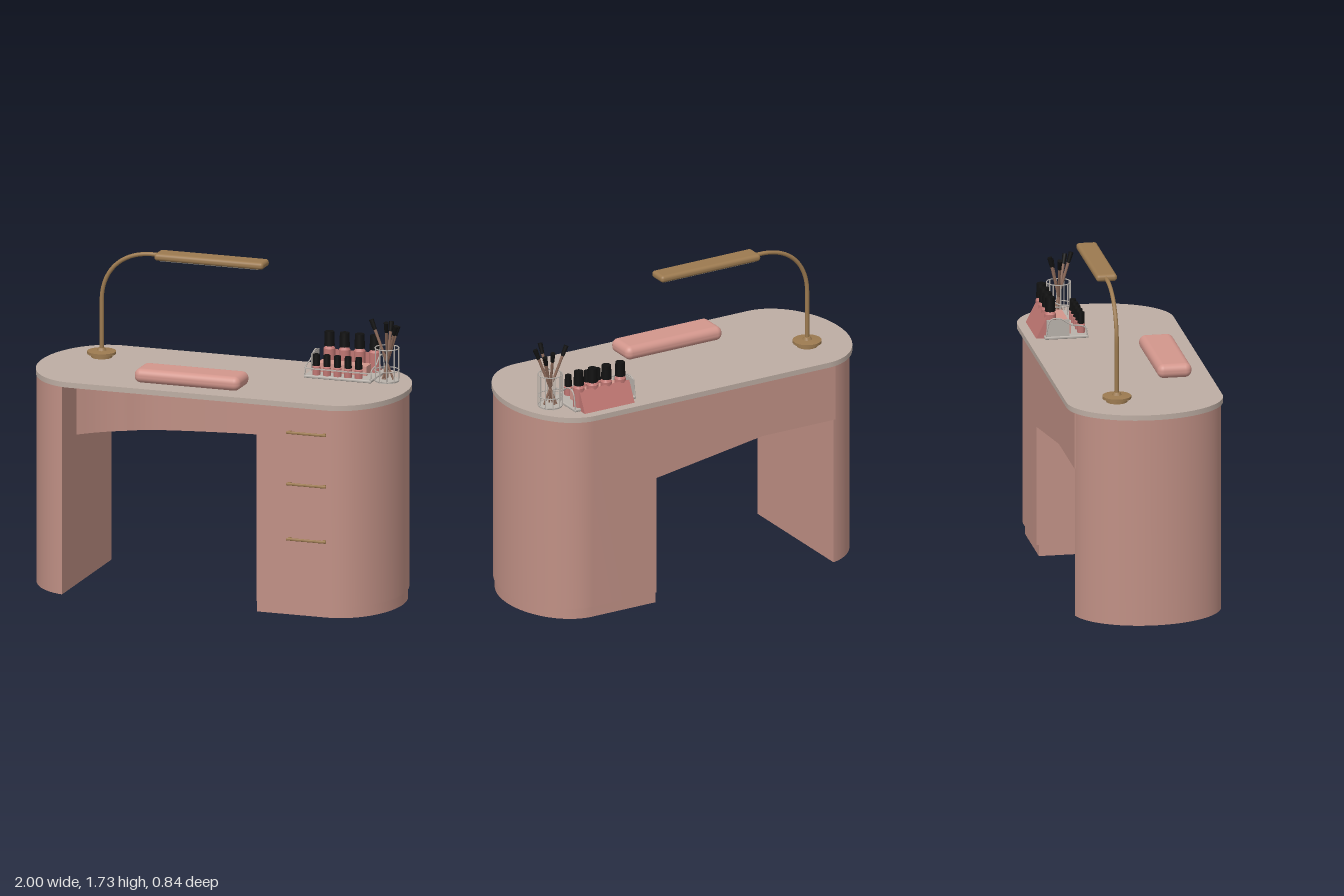
import * as THREE from 'three';
import { toCreasedNormals } from 'three/addons/utils/BufferGeometryUtils.js';
import { RoundedBoxGeometry } from 'three/addons/geometries/RoundedBoxGeometry.js';

const mat = (name, color, side = THREE.FrontSide) => {
  const m = new THREE.MeshStandardMaterial({ color, side });
  m.name = name;
  return m;
};

export function createModel() {
  const root = new THREE.Group();
  root.name = 'vanityDesk';
  const pink = mat('dusty pink', 0xc09085);
  const stone = mat('taupe top', 0xbdada3);
  const cushionPink = mat('cushion pink', 0xd2968c);
  const brass = mat('brass', 0x9c7a50);
  const black = mat('black', 0x111111);
  const rose = mat('rose polish', 0xbf7672);
  const acrylic = mat('clear grey', 0xb9b2ab, THREE.DoubleSide);
  const grey = mat('shadow grey', 0x8c8a84, THREE.DoubleSide);
  const wood = mat('brush wood', 0x8a6858);

  const add = (name, geo, material, x = 0, y = 0, z = 0, parent = root) => {
    const m = new THREE.Mesh(geo, material);
    m.name = name;
    m.position.set(x, y, z);
    parent.add(m);
    return m;
  };
  const box = (w, h, d) => new THREE.BoxGeometry(w, h, d);
  const cyl = (r1, r2, h, n = 24) => new THREE.CylinderGeometry(r1, r2, h, n);
  // Plan outline (x, -z) raised from y0 to y1
  const raise = (name, shape, y0, y1, material) => {
    const geo = new THREE.ExtrudeGeometry(shape, { depth: y1 - y0, bevelEnabled: false, curveSegments: 40 });
    geo.rotateX(-Math.PI / 2);
    return add(name, toCreasedNormals(geo, 0.6), material, 0, y0, 0);
  };
  // Thin rod between two points
  const rod = (name, a, b, r1, r2, material, parent = root) => {
    const d = b.clone().sub(a);
    const m = add(name, cyl(r2, r1, d.length(), 10), material, 0, 0, 0, parent);
    m.position.copy(a).addScaledVector(d, 0.5);
    m.quaternion.setFromUnitVectors(new THREE.Vector3(0, 1, 0), d.normalize());
    return m;
  };
  const V = (x, y, z) => new THREE.Vector3(x, y, z);

  // Table top with elliptical ends
  const top = new THREE.Shape();
  top.moveTo(-0.7, -0.4);
  top.lineTo(0.7, -0.4);
  top.absellipse(0.7, 0.01, 0.3, 0.41, -Math.PI / 2, Math.PI / 2, false);
  top.lineTo(-0.7, 0.42);
  top.absellipse(-0.7, 0.01, 0.3, 0.41, Math.PI / 2, Math.PI * 1.5, false);
  raise('tableTop', top, 1.112, 1.14, stone);

  // Drawer cabinet on an inset plinth
  const cabinetPlan = (inset) => {
    const s = new THREE.Shape();
    const h = 0.39 - inset;
    s.moveTo(0.32, -h);
    s.lineTo(0.7, -h);
    s.absellipse(0.7, 0, 0.29 - inset / 2, h, -Math.PI / 2, Math.PI / 2, false);
    s.lineTo(0.32, h);
    s.closePath();
    return s;
  };
  raise('cabinet', cabinetPlan(0), 0.06, 1.112, pink);
  raise('plinth', cabinetPlan(0.012), 0, 0.06, pink);

  // Rounded leg with a flat inner face
  const leg = new THREE.Shape();
  const start = Math.acos(-0.05 / 0.295);
  leg.absellipse(-0.7, 0, 0.295, 0.39, start, Math.PI * 2 - start, false);
  leg.closePath();
  raise('leg', leg, 0, 1.112, pink);

  // Apron with a concave front, flush at the back
  const apron = new THREE.Shape();
  apron.moveTo(-0.76, -0.17);
  apron.splineThru([[-0.66, -0.08], [-0.55, -0.01], [-0.38, 0.07], [0, 0.14], [0.33, 0.17]]
    .map(([x, y]) => new THREE.Vector2(x, y)));
  apron.lineTo(0.33, 0.39);
  apron.lineTo(-0.76, 0.39);
  apron.closePath();
  raise('apron', apron, 0.8, 1.112, pink);

  // Sloping wedge below the apron
  const tri = (...p) => {
    const g = new THREE.BufferGeometry().setFromPoints(p);
    g.computeVertexNormals();
    return g;
  };
  const wedgeTip = V(-0.32, 0.8, -0.39), wedgeLow = V(0.32, 0.7, -0.39);
  add('wedgeBack', tri(wedgeTip, V(0.32, 0.8, -0.39), wedgeLow), pink);
  add('wedgeUnderside', tri(wedgeTip, wedgeLow, V(0.32, 0.8, -0.17)), grey);

  // Drawer pulls
  for (const y of [0.41, 0.705, 0.98]) {
    const pull = new THREE.Group();
    pull.name = 'drawerPull';
    pull.position.set(0.6, y, 0.39);
    root.add(pull);
    add('pullBar', new RoundedBoxGeometry(0.22, 0.014, 0.012, 2, 0.005), brass, 0, 0, 0.022, pull);
    for (const s of [-1, 1]) add('pullPost', box(0.014, 0.012, 0.024), brass, s * 0.095, 0, 0.01, pull);
  }

  // Hand-rest cushion
  add('cushion', new RoundedBoxGeometry(0.58, 0.075, 0.18, 6, 0.034), cushionPink, -0.1, 1.177, 0.21);

  // Lamp: turned base, bent stem, flat head
  const lampBase = [[0, 0], [0.055, 0], [0.055, 0.012], [0.075, 0.018], [0.075, 0.032], [0.025, 0.036], [0.018, 0.05], [0, 0.05]]
    .map(([x, y]) => new THREE.Vector2(x, y));
  add('lampBase', toCreasedNormals(new THREE.LatheGeometry(lampBase, 40), 0.5), brass, -0.725, 1.14, -0.16);
  const stem = new THREE.CurvePath();
  stem.add(new THREE.LineCurve3(V(-0.725, 1.17, -0.16), V(-0.725, 1.44, -0.16)));
  stem.add(new THREE.CubicBezierCurve3(V(-0.725, 1.44, -0.16), V(-0.725, 1.6, -0.16), V(-0.62, 1.71, -0.16), V(-0.45, 1.712, -0.16)));
  stem.add(new THREE.LineCurve3(V(-0.45, 1.712, -0.16), V(-0.4, 1.712, -0.16)));
  add('lampStem', new THREE.TubeGeometry(stem, 60, 0.011, 12), brass);
  add('lampHead', new RoundedBoxGeometry(0.6, 0.038, 0.11, 4, 0.017), brass, -0.12, 1.712, -0.155);
  add('lampLightPanel', box(0.54, 0.004, 0.076), grey, -0.12, 1.692, -0.155);

  // Polish organiser: tray, raised step, side rails
  add('organiserTray', new RoundedBoxGeometry(0.37, 0.016, 0.23, 2, 0.006), acrylic, 0.59, 1.148, -0.215);
  add('organiserStep', box(0.27, 0.05, 0.075), cushionPink, 0.585, 1.18, -0.222);
  const back = new THREE.Shape();
  back.moveTo(0.315, 1.14);
  back.lineTo(0.37, 1.14);
  back.lineTo(0.315, 1.25);
  const backGeo = new THREE.ExtrudeGeometry(back, { depth: 0.3, bevelEnabled: false });
  backGeo.rotateY(Math.PI / 2);
  // Turned so that the slope faces the rear
  backGeo.translate(0.44, 0, 0);
  add('organiserBack', backGeo, rose);
  for (const x of [0.41, 0.77]) {
    const rail = new THREE.CatmullRomCurve3([V(x, 1.15, -0.105), V(x, 1.2, -0.12), V(x, 1.215, -0.19), V(x, 1.25, -0.25), V(x, 1.245, -0.3), V(x, 1.15, -0.325)]);
    add('organiserRail', new THREE.TubeGeometry(rail, 24, 0.004, 6), acrylic);
  }
  add('organiserFrontRail', box(0.36, 0.006, 0.006), acrylic, 0.59, 1.19, -0.108);
  add('organiserSide', box(0.004, 0.1, 0.12), acrylic, 0.412, 1.195, -0.26);

  // Polish bottles: large at the back, small at the front
  const bottle = (x, z, r, bodyH, capH) => {
    const g = new THREE.Group();
    g.name = 'polishBottle';
    g.position.set(x, 1.15, z);
    root.add(g);
    const profile = [[0, 0], [r, 0], [r, bodyH * 0.88], [r * 0.6, bodyH], [0, bodyH]].map(([a, b]) => new THREE.Vector2(a, b));
    add('bottleBody', toCreasedNormals(new THREE.LatheGeometry(profile, 24), 0.5), rose, 0, 0, 0, g);
    add('bottleCap', cyl(r * 0.82, r * 0.92, capH), black, 0, bodyH + capH / 2, 0, g);
  };
  for (let i = 0; i < 4; i++) bottle(0.48 + i * 0.083, -0.29, 0.03, 0.125, 0.075);
  for (let i = 0; i < 5; i++) bottle(0.465 + i * 0.058, -0.13, 0.021, 0.055, 0.06);

  // Ribbed brush cup
  const cup = new THREE.Group();
  cup.name = 'brushCup';
  cup.position.set(0.835, 1.14, -0.18);
  root.add(cup);
  add('cupFloor', cyl(0.063, 0.063, 0.008), acrylic, 0, 0.004, 0, cup);
  for (const y of [0.008, 0.06, 0.178]) {
    const ring = new THREE.TorusGeometry(0.063, 0.003, 6, 32);
    ring.rotateX(Math.PI / 2);
    add('cupRing', ring, acrylic, 0, y, 0, cup);
  }
  for (let i = 0; i < 10; i++) {
    const a = (i / 10) * Math.PI * 2;
    add('cupRib', cyl(0.003, 0.003, 0.178, 6), acrylic, 0.063 * Math.cos(a), 0.089, 0.063 * Math.sin(a), cup);
  }

  // Brushes leaning in the cup: tip x, y, z
  const tips = [[-0.09, 0.32, -0.01], [0.02, 0.33, 0.07], [0.065, 0.31, 0.045], [0.05, 0.29, -0.03], [0.01, 0.31, -0.045]];
  for (const [x, y, z] of tips) {
    const foot = V(-x * 0.4, 0.012, -z * 0.4), tip = V(x, y, z);
    const neck = foot.clone().lerp(tip, 0.83);
    rod('brushHandle', foot, neck, 0.005, 0.008, wood, cup);
    rod('brushHead', neck, tip, 0.01, 0.013, black, cup);
  }
  return root;
}
